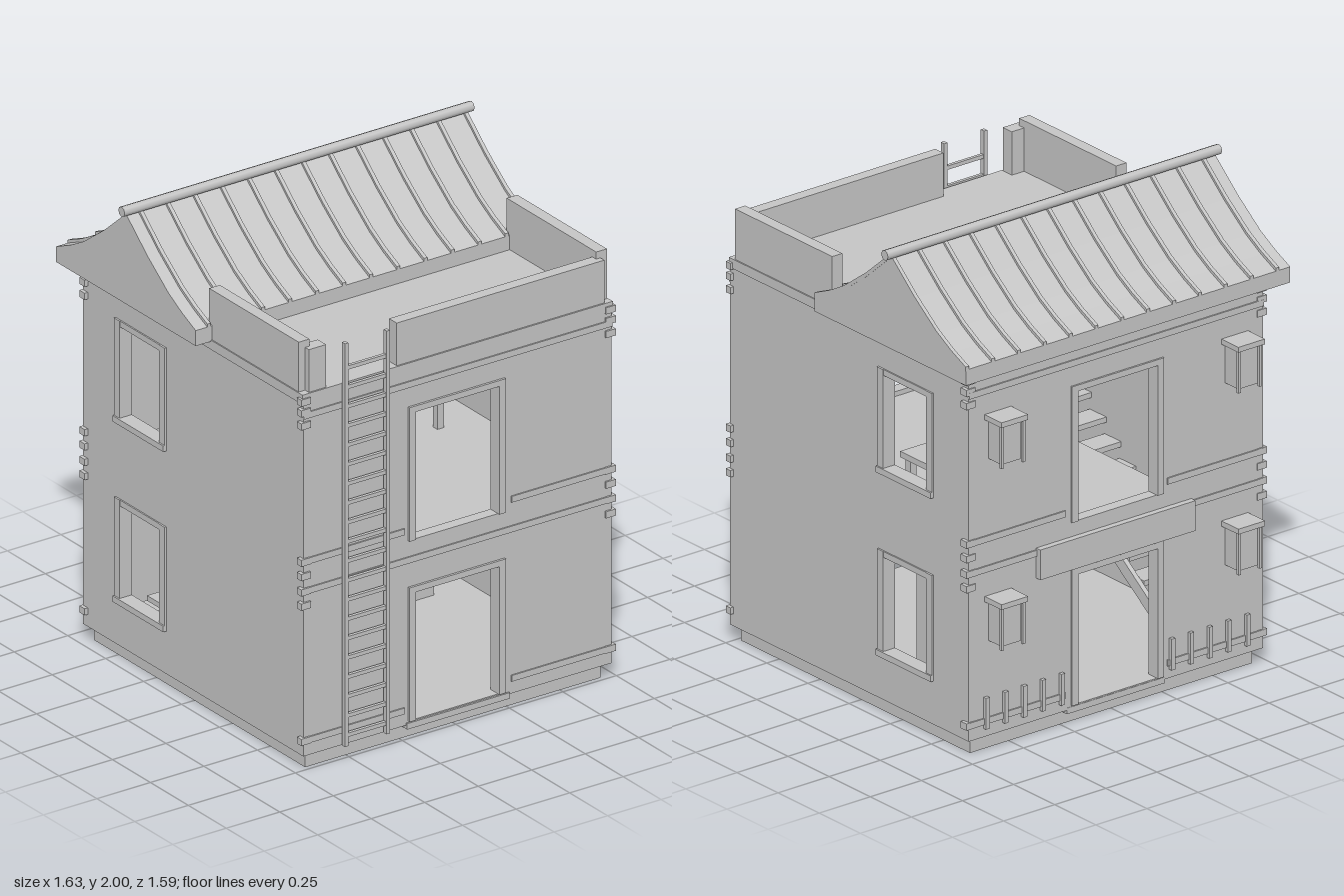
import * as THREE from 'three';

export function createModel() {
  const model = new THREE.Group();
  const grey = new THREE.MeshStandardMaterial({ color: 0xc6c6c6 });
  grey.name = 'plain grey';

  const add = (name, geo) => {
    const mesh = new THREE.Mesh(geo, grey);
    mesh.name = name;
    model.add(mesh);
    return mesh;
  };
  // Box given by its limits on each axis
  const box = (name, x0, x1, y0, y1, z0, z1) =>
    add(name, new THREE.BoxGeometry(x1 - x0, y1 - y0, z1 - z0)
      .translate((x0 + x1) / 2, (y0 + y1) / 2, (z0 + z1) / 2));
  const rect = (Type, a0, a1, b0, b1) => {
    const path = new Type();
    path.moveTo(a0, b0);
    path.lineTo(a1, b0);
    path.lineTo(a1, b1);
    path.lineTo(a0, b1);
    path.closePath();
    return path;
  };
  const extrude = (shape, depth) => new THREE.ExtrudeGeometry(shape, { depth, bevelEnabled: false });
  // Profile drawn in (-z, y), swept from x0 to x1
  const sweepX = (name, shape, x0, x1) =>
    add(name, extrude(shape, x1 - x0).rotateY(Math.PI / 2).translate(x0, 0, 0));

  // Base, floors and flat terrace
  box('base', -0.69, 0.69, 0, 0.07, -0.66, 0.73);
  box('groundFloor', -0.72, 0.72, 0.065, 0.08, -0.69, 0.76);
  box('doorStep', -0.24, 0.24, 0.05, 0.075, -0.692, 0.768);
  box('upperFloor', -0.32, 0.68, 0.77, 0.82, -0.65, 0.72);
  box('upperFloorFront', -0.68, -0.32, 0.77, 0.82, 0.4, 0.72);
  box('upperFloorBack', -0.68, -0.32, 0.77, 0.82, -0.65, -0.5);
  box('terrace', -0.725, 0.725, 1.55, 1.59, -0.69, 0.762);

  // Front and back walls with two openings each
  for (const [name, z] of [['frontWall', 0.71], ['backWall', -0.69]]) {
    const shape = rect(THREE.Shape, -0.72, 0.72, 0.07, 1.58);
    shape.holes.push(rect(THREE.Path, -0.2, 0.19, 0.08, 0.62), rect(THREE.Path, -0.2, 0.19, 0.84, 1.38));
    add(name, extrude(shape, 0.05).translate(0, 0, z));
  }
  // Opening frames
  for (const [z0, z1] of [[0.755, 0.77], [-0.698, -0.685]]) {
    for (const [y0, y1] of [[0.08, 0.62], [0.84, 1.38]]) {
      box('doorFrameSide', -0.23, -0.2, y0, y1 + 0.025, z0, z1);
      box('doorFrameSide', 0.19, 0.22, y0, y1 + 0.025, z0, z1);
      box('doorFrameTop', -0.2, 0.19, y1, y1 + 0.025, z0, z1);
    }
  }

  // Side walls with windows, frames and sills
  for (const side of [-1, 1]) {
    const shape = rect(THREE.Shape, -0.71, 0.64, 0.07, 1.58);
    const windows = [[0.27, 0.685], [1.03, 1.44]];
    for (const [y0, y1] of windows) shape.holes.push(rect(THREE.Path, 0.18, 0.44, y0, y1));
    sweepX('sideWall', shape, side > 0 ? 0.67 : -0.72, side > 0 ? 0.72 : -0.67);
    const trim = (name, y0, y1, z0, z1, out) =>
      box(name, side > 0 ? 0.69 : -out, side > 0 ? out : -0.69, y0, y1, z0, z1);
    for (const [y0, y1] of windows) {
      trim('windowFrameSide', y0, y1, -0.18, -0.142, 0.728);
      trim('windowFrameSide', y0, y1, -0.476, -0.44, 0.728);
      trim('windowFrameTop', y1 - 0.025, y1, -0.44, -0.18, 0.726);
      trim('windowSill', y0 - 0.025, y0, -0.476, -0.142, 0.735);
    }
    // Beam ends at the corners
    for (const y of [0.13, 0.7, 0.76, 0.825, 0.885, 1.46, 1.515, 1.56]) {
      trim('beamEnd', y - 0.014, y + 0.014, 0.74, 0.768, 0.735);
      trim('beamEnd', y - 0.014, y + 0.014, -0.695, -0.66, 0.735);
    }
  }

  // Horizontal beams across front and back
  for (const [z0, z1] of [[0.75, 0.766], [-0.696, -0.68]]) {
    for (const y of [0.13, 0.76, 0.885, 1.5]) {
      if (y === 0.13 || y === 0.885) {
        box('wallBeam', -0.72, -0.25, y - 0.013, y + 0.013, z0, z1);
        box('wallBeam', 0.25, 0.72, y - 0.013, y + 0.013, z0, z1);
      } else box('wallBeam', -0.72, 0.72, y - 0.013, y + 0.013, z0, z1);
    }
  }

  // Terrace parapet with a gap for the ladder
  for (const side of [-1, 1]) {
    box('sideParapet', side > 0 ? 0.67 : -0.72, side > 0 ? 0.72 : -0.67, 1.58, 1.8, 0.14, 0.73);
  }
  box('frontParapet', -0.28, 0.69, 1.58, 1.77, 0.705, 0.755);
  box('cornerParapet', -0.69, -0.61, 1.58, 1.77, 0.7, 0.755);

  // Concave gable roof
  const half = [[0.46, 1.65], [0.37, 1.69], [0.28, 1.74], [0.145, 1.84], [0, 1.965]];
  const curve = [
    ...half.map(([d, y]) => [0.3 - d, y]),
    ...half.slice(0, -1).reverse().map(([d, y]) => [0.3 + d, y]),
  ];
  const strip = (up, down) => new THREE.Shape([
    ...curve.map(([s, y]) => new THREE.Vector2(s, y + up)),
    ...[...curve].reverse().map(([s, y]) => new THREE.Vector2(s, y + down)),
  ]);
  const gable = new THREE.Shape([
    new THREE.Vector2(-0.16, 1.585),
    ...curve.map(([s, y]) => new THREE.Vector2(s, y)),
    new THREE.Vector2(0.76, 1.585),
  ]);
  sweepX('roof', gable, -0.797, 0.79);
  for (let i = 0; i < 13; i++) {
    const x = -0.735 + i * 0.1265;
    sweepX('roofRib', strip(0.013, -0.005), x - 0.008, x + 0.008);
  }
  add('ridgePole', new THREE.CylinderGeometry(0.021, 0.021, 1.635, 8)
    .rotateZ(Math.PI / 2).translate(0, 1.979, -0.3));

  // Ladder
  for (const x of [-0.54, -0.345]) box('ladderRail', x - 0.008, x + 0.008, 0.07, 1.77, 0.772, 0.792);
  for (let i = 0; i < 20; i++) {
    const y = 0.115 + i * 0.0815;
    box('ladderRung', -0.54, -0.345, y - 0.008, y + 0.008, 0.775, 0.789);
  }

  // Wall lanterns on the back
  for (const x of [-0.582, 0.577]) {
    for (const y of [0.46, 1.215]) {
      box('lanternBody', x - 0.047, x + 0.047, y, y + 0.17, -0.77, -0.68);
      box('lanternCap', x - 0.065, x + 0.065, y + 0.165, y + 0.187, -0.793, -0.68);
      for (const s of [-1, 1]) {
        box('lanternPost', x + s * 0.052 - 0.006, x + s * 0.052 + 0.006, y - 0.01, y + 0.17, -0.784, -0.772);
      }
    }
  }

  // Sign board and pickets on the back
  box('signBoard', -0.37, 0.39, 0.655, 0.78, -0.716, -0.68);
  for (const side of [-1, 1]) {
    for (let i = 0; i < 5; i++) {
      const x = side * (0.27 + i * 0.092);
      box('picket', x - 0.009, x + 0.009, 0.1, 0.23, -0.705, -0.68);
    }
  }

  // Ground floor: stairs, closet and cabinet
  for (let i = 0; i < 10; i++) {
    const z = -0.52 + i * 0.09;
    const y = 0.14 + i * 0.072;
    box('stairTread', -0.67, -0.42, y, y + 0.022, z, z + 0.1);
  }
  const rail = (x) => {
    const shape = new THREE.Shape([[0.55, 0.08], [0.55, 0.14], [-0.4, 0.82], [-0.4, 0.75]]
      .map(([s, y]) => new THREE.Vector2(s, y)));
    sweepX('stairStringer', shape, x, x + 0.02);
  };
  rail(-0.42);
  box('closet', -0.4, -0.22, 0.08, 0.77, 0.1, 0.43);
  box('cabinet', 0.25, 0.5, 0.08, 0.72, -0.47, -0.1);

  // Upper floor: table with small vessels, and a bench
  box('tableTop', 0.14, 0.5, 0.955, 0.98, -0.3, 0.0);
  for (const x of [0.16, 0.46]) {
    for (const z of [-0.28, -0.05]) box('tableLeg', x, x + 0.03, 0.82, 0.96, z, z + 0.03);
  }
  for (const [x, z, r] of [[0.22, -0.2, 0.018], [0.3, -0.16, 0.025], [0.38, -0.12, 0.018]]) {
    add('vessel', new THREE.CylinderGeometry(r, r * 0.7, 0.035, 8).translate(x, 0.997, z));
  }
  box('bench', 0.2, 0.4, 0.82, 0.87, -0.55, -0.4);

  return model;
}
